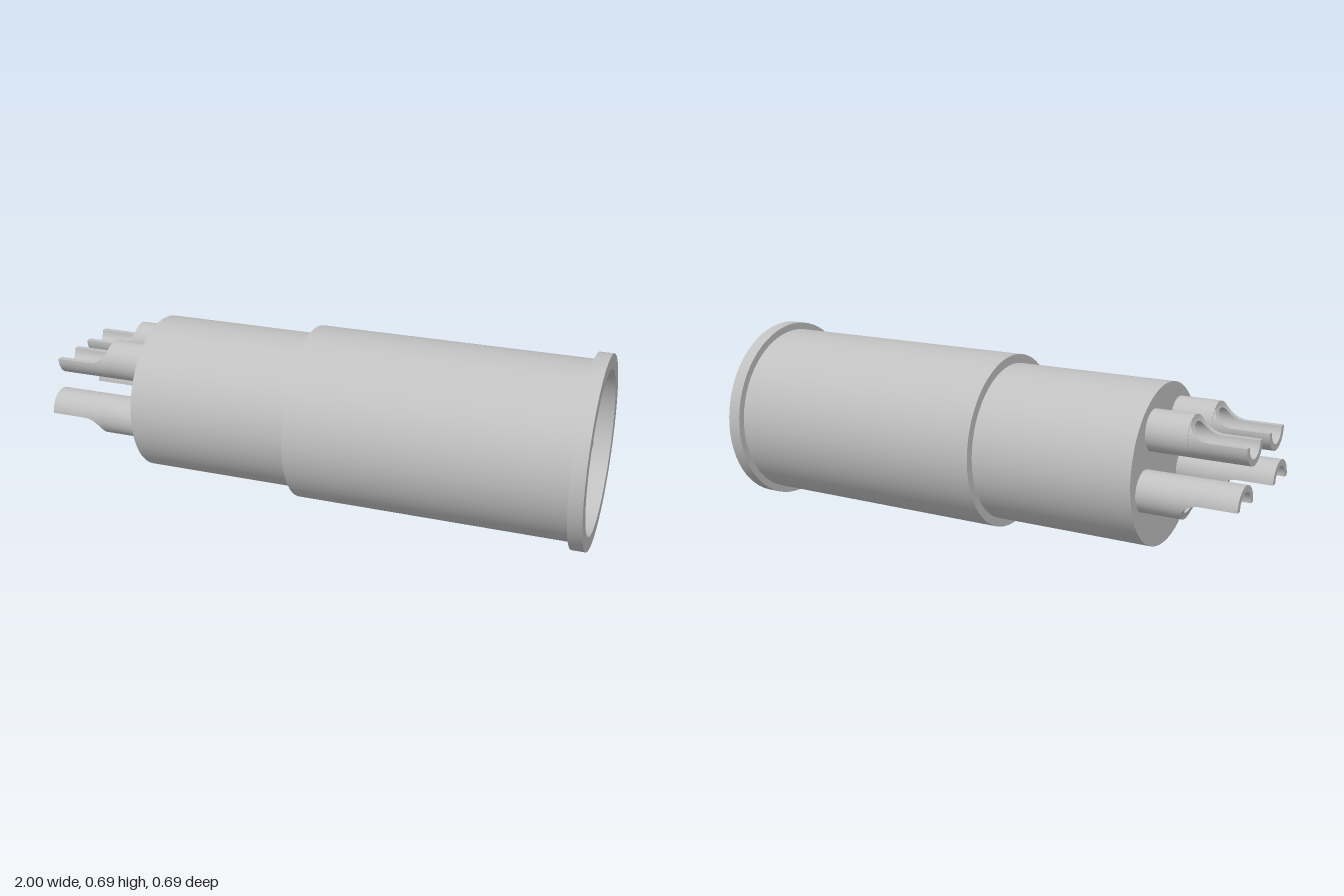
import * as THREE from 'three';
import { toCreasedNormals } from 'three/addons/utils/BufferGeometryUtils.js';

const AXIS_Y = 0.343;      // height of the connector's axis
const CUP_R = 0.0725, BORE_R = 0.05;
const CUP_END = -1, BORE_FLOOR = -0.75, BODY_BACK = -0.65, FLOOR = -0.05;

const metal = new THREE.MeshStandardMaterial({ color: 0xc0c0c0 });
metal.name = 'greyMetal';

function add(parent, name, geometry) {
  const mesh = new THREE.Mesh(geometry, metal);
  mesh.name = name;
  parent.add(mesh);
  return mesh;
}

// Turned part along x from [radius, x] points, with sharp edges
function turned(points) {
  const g = new THREE.LatheGeometry(points.map(p => new THREE.Vector2(p[0], p[1])), 64);
  g.rotateZ(-Math.PI / 2);
  return toCreasedNormals(g, 0.5);
}

// Surface through stations [x, cutHeight]; section(h, t) gives [y, z]
function loft(stations, n, section) {
  const pos = [], index = [];
  stations.forEach(([x, h], i) => {
    for (let j = 0; j <= n; j++) {
      pos.push(x, ...section(h, j / n));
      if (i + 1 < stations.length && j < n) {
        const a = i * (n + 1) + j, b = a + n + 1;
        index.push(a, b, a + 1, b, b + 1, a + 1);
      }
    }
  });
  const g = new THREE.BufferGeometry();
  g.setAttribute('position', new THREE.Float32BufferAttribute(pos, 3));
  g.setIndex(index);
  g.computeVertexNormals();
  return g;
}

// Arc of a circle below the cut height
function arc(r, reverse) {
  return (h, t) => {
    const a0 = Math.asin(Math.min(1, h / r));
    const s = reverse ? 1 - t : t;
    const a = Math.PI - a0 + s * (Math.PI + 2 * a0);
    return [r * Math.sin(a), r * Math.cos(a)];
  };
}

// Flat wall edge at the cut height, on one side of the bore
function rim(side) {
  return (h, t) => {
    const outer = Math.sqrt(Math.max(0, CUP_R ** 2 - h * h));
    const inner = Math.sqrt(Math.max(0, BORE_R ** 2 - h * h));
    return [h, side > 0 ? outer + (inner - outer) * t : -inner + (inner - outer) * t];
  };
}

// Hollow terminal, cut open to half its height with a concave run-out
function solderCup() {
  const group = new THREE.Group();
  const angles = [Math.acos(1 - BORE_R / CUP_R)];
  for (let i = 0; i <= 20; i++) angles.push(i / 20 * Math.PI / 2);
  angles.sort((a, b) => a - b);
  const cut = [[CUP_END, 0], ...angles.map(a =>
    [-0.87 + CUP_R * Math.sin(a), CUP_R * (1 - Math.cos(a))])];

  add(group, 'cupOuterWall', loft([...cut, [BODY_BACK, CUP_R]], 32, arc(CUP_R, false)));
  add(group, 'cupBore', loft([...cut, [BORE_FLOOR, CUP_R]], 32, arc(BORE_R, true)));
  for (const side of [1, -1]) add(group, 'cupRim', loft(cut, 1, rim(side)));

  const end = add(group, 'cupEnd', new THREE.RingGeometry(BORE_R, CUP_R, 24, 1, Math.PI, Math.PI));
  end.position.x = CUP_END;
  const floor = add(group, 'cupFloor', new THREE.CircleGeometry(BORE_R, 32));
  floor.position.x = BORE_FLOOR;
  end.rotation.y = floor.rotation.y = -Math.PI / 2;
  return group;
}

export function createModel() {
  const model = new THREE.Group();
  model.name = 'cableConnector';
  const connector = new THREE.Group();
  connector.name = 'connector';
  connector.position.y = AXIS_Y;
  model.add(connector);

  // Solid rear body, also the floor of the socket
  add(connector, 'rearBody', turned([[0, BODY_BACK], [0.285, BODY_BACK], [0.285, FLOOR], [0, FLOOR]]));

  // Open front shell with flange
  add(connector, 'frontShell', turned([
    [0.285, FLOOR], [0.317, FLOOR], [0.317, 0.95], [0.343, 0.95],
    [0.343, 1], [0.29, 1], [0.29, FLOOR], [0.285, FLOOR]]));

  // Four contacts: a round-tipped pin in front, a solder cup behind
  for (const [y, z, upper] of [[0.145, 0.107, true], [-0.049, 0.171, false]]) {
    for (const side of [1, -1]) {
      const contact = new THREE.Group();
      contact.name = upper ? 'upperContact' : 'lowerContact';
      contact.position.set(0, y, z * side);
      connector.add(contact);

      const pin = add(contact, 'pin', new THREE.CapsuleGeometry(0.049, 0.952, 12, 32));
      pin.rotation.z = -Math.PI / 2;
      pin.position.x = 0.425;

      const cup = solderCup();
      cup.name = 'solderCup';
      if (!upper) cup.rotation.x = Math.PI;   // lower cups open downward
      contact.add(cup);
    }
  }
  return model;
}
